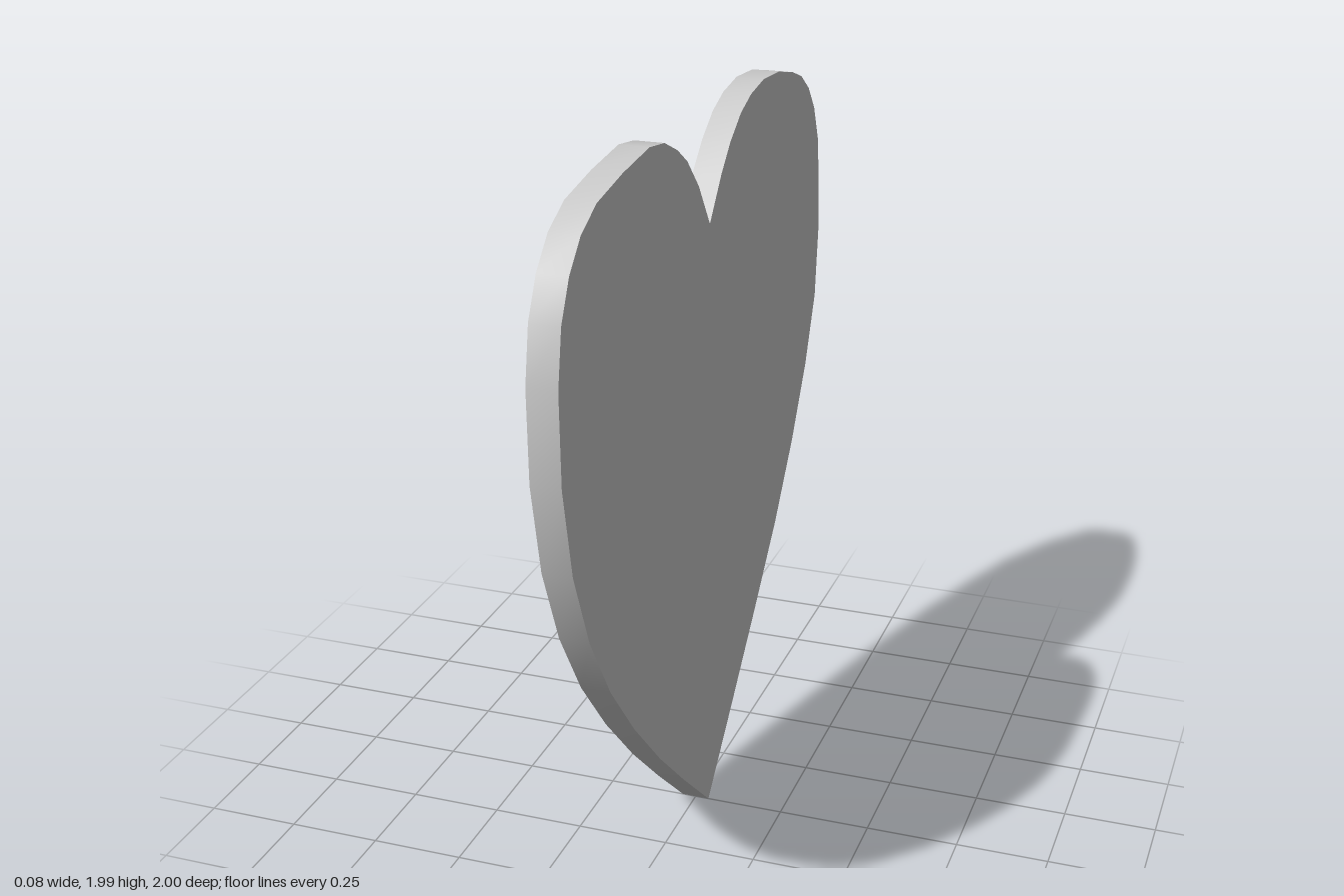
import * as THREE from 'three';
import { toCreasedNormals } from 'three/addons/utils/BufferGeometryUtils.js';

const THICKNESS = 0.076;

// Outline of each lobe as [z, y], slightly different on the two sides
const frontLobe = [
  [0, 0], [0.205, 0.18], [0.39, 0.35], [0.575, 0.54], [0.73, 0.725], [0.855, 0.92],
  [0.945, 1.13], [0.995, 1.365], [1, 1.595], [0.975, 1.735], [0.925, 1.83],
  [0.855, 1.9], [0.76, 1.945], [0.6, 1.97], [0.43, 1.985], [0.33, 1.97],
  [0.24, 1.93], [0.17, 1.885], [0.085, 1.8],
];
const backLobe = [
  [0, 1.68], [-0.09, 1.785], [-0.16, 1.85], [-0.245, 1.905], [-0.33, 1.935],
  [-0.44, 1.95], [-0.575, 1.94], [-0.705, 1.91], [-0.79, 1.88], [-0.865, 1.83],
  [-0.925, 1.76], [-0.97, 1.66], [-0.99, 1.53], [-1, 1.39], [-0.975, 1.18],
  [-0.89, 0.99], [-0.765, 0.795], [-0.605, 0.595], [-0.415, 0.4], [-0.205, 0.195],
];

export function createModel() {
  const group = new THREE.Group();
  group.name = 'heart';

  // Flat plate, extruded and turned so its thickness runs along x
  const shape = new THREE.Shape([...frontLobe, ...backLobe].map(([z, y]) => new THREE.Vector2(z, y)));
  const geometry = new THREE.ExtrudeGeometry(shape, { depth: THICKNESS, bevelEnabled: false });
  geometry.translate(0, 0, -THICKNESS / 2);
  geometry.rotateY(-Math.PI / 2);

  // Rim shades smoothly; the tip, notch and face edges stay sharp
  const plate = new THREE.Mesh(
    toCreasedNormals(geometry, 0.8),
    new THREE.MeshStandardMaterial({ color: 0xcccccc }),
  );
  plate.name = 'heartPlate';
  group.add(plate);
  return group;
}
